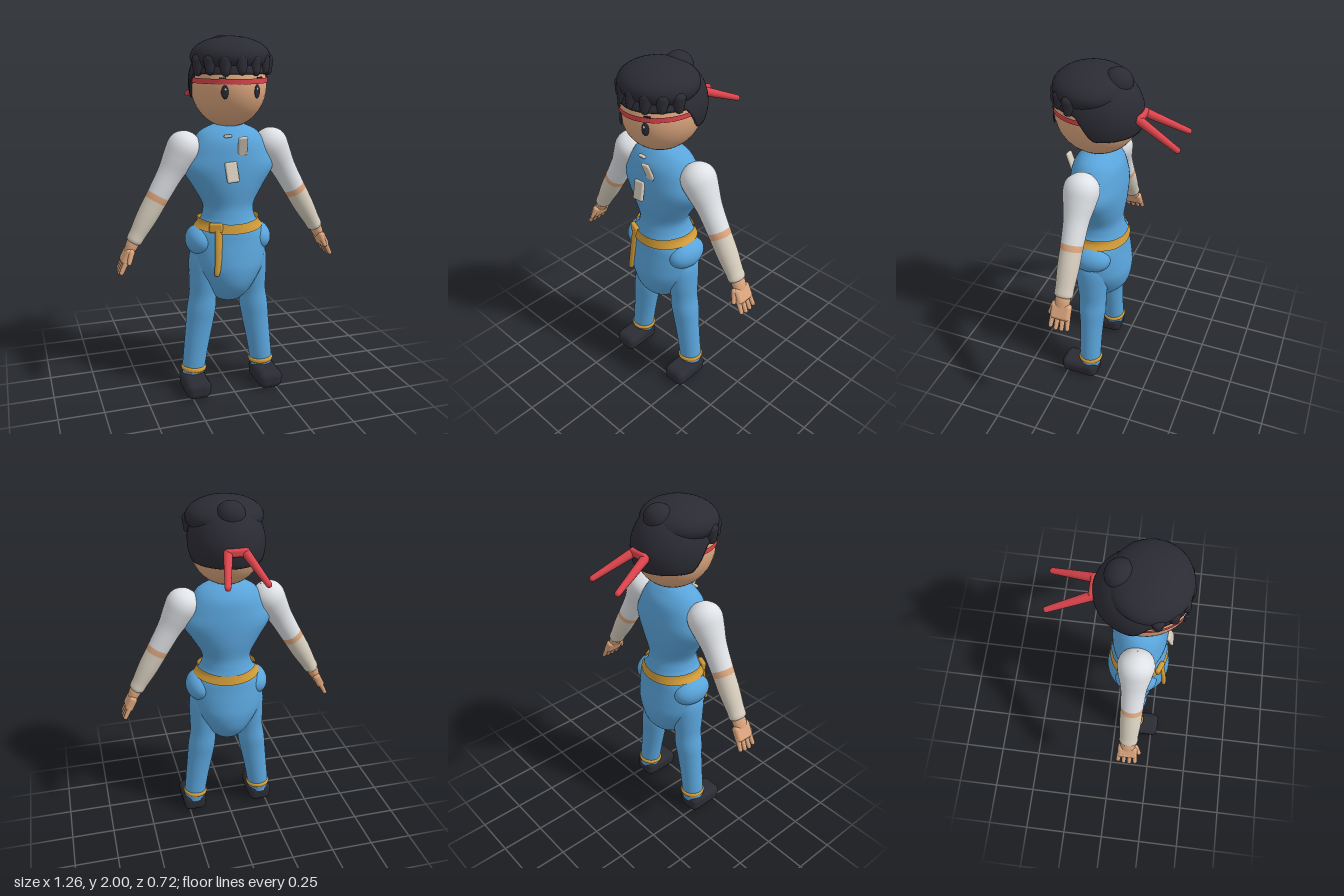
import * as THREE from 'three';
import { RoundedBoxGeometry } from 'three/addons/geometries/RoundedBoxGeometry.js';

const mat = (name, color, side = THREE.FrontSide) => {
  const m = new THREE.MeshStandardMaterial({ color, side });
  m.name = name;
  return m;
};

// Closed-around surface from point(u, angle), u running top to bottom
function skin(point, rows, segs) {
  const pos = [], index = [];
  for (let i = 0; i <= rows; i++)
    for (let j = 0; j < segs; j++) pos.push(...point(i / rows, (j / segs) * Math.PI * 2));
  for (let i = 0; i < rows; i++)
    for (let j = 0; j < segs; j++) {
      const k = (j + 1) % segs;
      const a = i * segs + j, b = a + segs, c = i * segs + k, d = c + segs;
      index.push(a, b, c, c, b, d);
    }
  const g = new THREE.BufferGeometry();
  g.setAttribute('position', new THREE.Float32BufferAttribute(pos, 3));
  g.setIndex(index);
  g.computeVertexNormals();
  return g;
}

// Elliptical sections [y, rx, rz, cx, cz], smoothly blended
function loft(sections, segs = 40) {
  const curve = (x, z) => new THREE.CatmullRomCurve3(
    sections.map(s => new THREE.Vector3(s[x] || 0, s[0], s[z] || 0)), false, 'catmullrom');
  const radius = curve(1, 2), centre = curve(3, 4);
  return skin((u, a) => {
    const r = radius.getPoint(u), c = centre.getPoint(u);
    return [c.x + Math.sin(a) * r.x, r.y, c.z + Math.cos(a) * r.z];
  }, (sections.length - 1) * 5, segs);
}

export function createModel() {
  const model = new THREE.Group();
  const skinTone = mat('skin', 0xdca67e);
  const blue = mat('blue cloth', 0x5aa5dc);
  const white = mat('white sleeve', 0xdfe2e6);
  const beige = mat('beige wrap', 0xd6cdbd);
  const gold = mat('gold sash', 0xd39c38, THREE.DoubleSide);
  const dark = mat('dark hair', 0x2b2b34, THREE.DoubleSide);
  const red = mat('red band', 0xdc444c, THREE.DoubleSide);

  const add = (name, geo, material, p = [0, 0, 0], parent = model) => {
    const m = new THREE.Mesh(geo, material);
    m.name = name;
    m.position.set(...p);
    parent.add(m);
    return m;
  };
  const ball = (name, material, p, r, parent) => {
    const m = add(name, new THREE.SphereGeometry(1, 36, 24), material, p, parent);
    m.scale.set(...r);
    return m;
  };
  // Tapered rod between two points with rounded ends
  const rod = (name, material, a, b, ra, rb, parent) => {
    const A = new THREE.Vector3(...a), B = new THREE.Vector3(...b), L = A.distanceTo(B);
    const pts = [];
    for (let i = 0; i <= 6; i++) {
      const t = (i / 6 - 1) * Math.PI / 2;
      pts.push(new THREE.Vector2(Math.cos(t) * ra, Math.sin(t) * ra));
    }
    for (let i = 0; i <= 6; i++) {
      const t = (i / 6) * Math.PI / 2;
      pts.push(new THREE.Vector2(Math.cos(t) * rb, L + Math.sin(t) * rb));
    }
    const m = add(name, new THREE.LatheGeometry(pts, 16), material, a, parent);
    m.quaternion.setFromUnitVectors(new THREE.Vector3(0, 1, 0), B.sub(A).normalize());
    return m;
  };

  // Body: collar, chest, waist and baggy seat
  add('body', loft([
    [1.55, 0.03, 0.03], [1.535, 0.08, 0.065], [1.5, 0.155, 0.1], [1.45, 0.195, 0.132], [1.38, 0.232, 0.145],
    [1.3, 0.258, 0.151], [1.2, 0.2, 0.148], [1.1, 0.145, 0.135], [1.04, 0.145, 0.142], [1.0, 0.163, 0.152],
    [0.95, 0.2, 0.161], [0.9, 0.215, 0.166], [0.82, 0.215, 0.178], [0.74, 0.2, 0.185], [0.65, 0.15, 0.168],
    [0.58, 0.105, 0.12], [0.54, 0.06, 0.065], [0.53, 0.001, 0.001],
  ], 48).translate(0, 0, 0.115), blue);

  // Sash with its knot and hanging end
  add('sash', skin((u, a) => {
    const y = 1.025 - 0.018 * Math.cos(a) ** 2 - u * 0.052;
    const grow = 0.174 + Math.max(0, 1.0 - y) * 0.75;
    return [Math.sin(a) * grow, y, 0.115 + Math.cos(a) * (0.16 + (1.0 - y) * 0.2)];
  }, 4, 48), gold);
  const knot = add('sash knot', new RoundedBoxGeometry(0.075, 0.055, 0.03, 3, 0.012), gold, [-0.11, 0.99, 0.245]);
  knot.rotation.y = -0.4;
  add('sash tail', loft([
    [1.0, 0.02, 0.012, -0.095, 0.25], [0.93, 0.021, 0.013, -0.1, 0.262], [0.82, 0.019, 0.013, -0.106, 0.276],
    [0.74, 0.015, 0.012, -0.115, 0.282], [0.725, 0.001, 0.001, -0.117, 0.282],
  ], 16), gold);

  // Chest toggles
  const toggle = (w, h, p, rx, rz) => {
    const m = add('chest toggle', new RoundedBoxGeometry(w, h, 0.02, 3, 0.009), beige, p);
    m.rotation.set(rx, 0, rz);
  };
  toggle(0.052, 0.11, [0.033, 1.43, 0.265], 0.35, 0.06);
  toggle(0.068, 0.11, [-0.03, 1.295, 0.276], -0.25, 0.08);
  toggle(0.045, 0.016, [-0.04, 1.482, 0.235], 0, 0);

  for (const s of [1, -1]) {
    const side = s > 0 ? 'left' : 'right';

    // Hip fold, leg, ankle tie and shoe
    ball(side + ' hip fold', blue, [s * 0.163, 0.895, 0.115], [0.082, 0.085, 0.12]);
    add(side + ' leg', loft([
      [0.88, 0.07, 0.08, s * 0.125, 0.115], [0.8, 0.092, 0.1, s * 0.132, 0.115], [0.68, 0.085, 0.092, s * 0.142, 0.115],
      [0.58, 0.077, 0.082, s * 0.149, 0.113], [0.49, 0.083, 0.081, s * 0.158, 0.113], [0.4, 0.079, 0.072, s * 0.17, 0.114],
      [0.26, 0.071, 0.066, s * 0.191, 0.115], [0.14, 0.066, 0.064, s * 0.207, 0.115], [0.08, 0.062, 0.06, s * 0.212, 0.115],
    ], 32), blue);
    const tie = add(side + ' ankle tie', new THREE.TorusGeometry(0.062, 0.012, 10, 32), gold, [s * 0.207, 0.131, 0.115]);
    tie.rotation.set(Math.PI / 2, s * 0.06, 0);
    tie.scale.z = 1.25;
    const shoe = new RoundedBoxGeometry(0.146, 0.11, 0.23, 5, 0.038);
    const sp = shoe.attributes.position;
    for (let i = 0; i < sp.count; i++) {
      const low = sp.getY(i) < 0 ? 0.94 : 1;
      const drop = sp.getY(i) > 0 && sp.getZ(i) > 0 ? 0.008 : 0;
      sp.setXYZ(i, sp.getX(i) * low, sp.getY(i) - drop, sp.getZ(i));
    }
    add(side + ' shoe', shoe, dark, [s * 0.216, 0.055, 0.174]);

    // Arm, built hanging down and then swung outward
    const arm = new THREE.Group();
    arm.name = side + ' arm';
    arm.position.set(s * 0.25, 1.412, 0.115);
    arm.rotation.z = s * 0.525;
    model.add(arm);
    add('sleeve', loft([
      [0.094, 0.001, 0.001], [0.085, 0.04, 0.04], [0.05, 0.08, 0.082], [0, 0.094, 0.098],
      [-0.07, 0.084, 0.088], [-0.16, 0.069, 0.07], [-0.287, 0.062, 0.062],
    ], 32), white, undefined, arm);
    add('elbow band', loft([[-0.285, 0.062, 0.062], [-0.302, 0.062, 0.062], [-0.322, 0.061, 0.061]], 32), skinTone, undefined, arm);
    add('forearm wrap', loft([
      [-0.32, 0.061, 0.061], [-0.42, 0.057, 0.059], [-0.52, 0.046, 0.052], [-0.573, 0.039, 0.048], [-0.578, 0.001, 0.001],
    ], 32), beige, undefined, arm);

    // Hand with four fingers and a thumb
    const hand = new THREE.Group();
    hand.name = side + ' hand';
    hand.position.y = -0.575;
    hand.rotation.z = -s * 0.06;
    arm.add(hand);
    add('wrist', loft([[0.02, 0.034, 0.04], [-0.02, 0.034, 0.042], [-0.06, 0.026, 0.04]], 24), skinTone, undefined, hand);
    add('palm', new RoundedBoxGeometry(0.046, 0.092, 0.112, 4, 0.018), skinTone, [0, -0.083, 0], hand);
    for (let i = 0; i < 4; i++) {
      const z = (i - 1.5) * 0.029;
      rod('finger', skinTone, [0, -0.11, z], [0, -0.185 + Math.abs(i - 1.6) * 0.008, z * 1.12], 0.015, 0.012, hand);
    }
    rod('thumb', skinTone, [-s * 0.004, -0.05, 0.045], [-s * 0.012, -0.105, 0.066], 0.017, 0.012, hand);

    // Eye with glint, and brow
    const eye = new THREE.Group();
    eye.name = side + ' eye';
    eye.position.set(s * 0.087, 1.718, 0.326);
    eye.rotation.y = s * 0.48;
    model.add(eye);
    ball('iris', dark, [0, 0, 0], [0.019, 0.035, 0.007], eye);
    ball('glint', white, [-s * 0.004, 0.014, 0.005], [0.005, 0.007, 0.003], eye);
    const brow = add(side + ' brow', new THREE.BoxGeometry(0.034, 0.008, 0.008), dark, [s * 0.1, 1.787, 0.324]);
    brow.rotation.y = s * 0.48;

    // Trailing end of the headband
    rod(side + ' band tail', red, [s * 0.045, 1.763, -0.115], [s * 0.104, 1.663, -0.345], 0.025, 0.016);
  }

  // Head and headband
  ball('head', skinTone, [0, 1.74, 0.12], [0.2, 0.222, 0.228]);
  const band = add('headband', new THREE.CylinderGeometry(1, 1, 0.027, 64, 1, true), red, [0, 1.77, 0.12]);
  band.scale.set(0.204, 1, 0.233);
  add('band knot', new RoundedBoxGeometry(0.12, 0.045, 0.04, 3, 0.015), red, [0, 1.765, -0.125]);

  // Hair: cap that drops lower at the back, full crown, fringe and bun
  add('hair cap', skin((u, a) => {
    const back = THREE.MathUtils.smoothstep(-Math.cos(a), -0.25, 0.25);
    const end = Math.acos((THREE.MathUtils.lerp(1.805, 1.672, back) - 1.755) / 0.235);
    const t = Math.min(1, u / 0.93) * end, inset = u > 0.95 ? 0.9 : 1;
    return [Math.sin(a) * Math.sin(t) * 0.212 * inset, 1.755 + Math.cos(t) * 0.235,
      0.112 + Math.cos(a) * Math.sin(t) * 0.243 * inset];
  }, 28, 64), dark);
  ball('hair crown', dark, [0, 1.888, 0.145], [0.213, 0.107, 0.203]);
  ball('hair bun', dark, [0, 1.925, 0.005], [0.078, 0.075, 0.078]);
  for (let i = -3; i <= 3; i++) {
    const a = i * 0.4, x = Math.sin(a), z = Math.cos(a);
    rod('fringe lock', dark, [x * 0.2, 1.87, 0.125 + z * 0.195], [x * 0.205, 1.818 + (i % 2 ? 0 : 0.006), 0.12 + z * 0.215], 0.036, 0.024);
  }
  return model;
}
